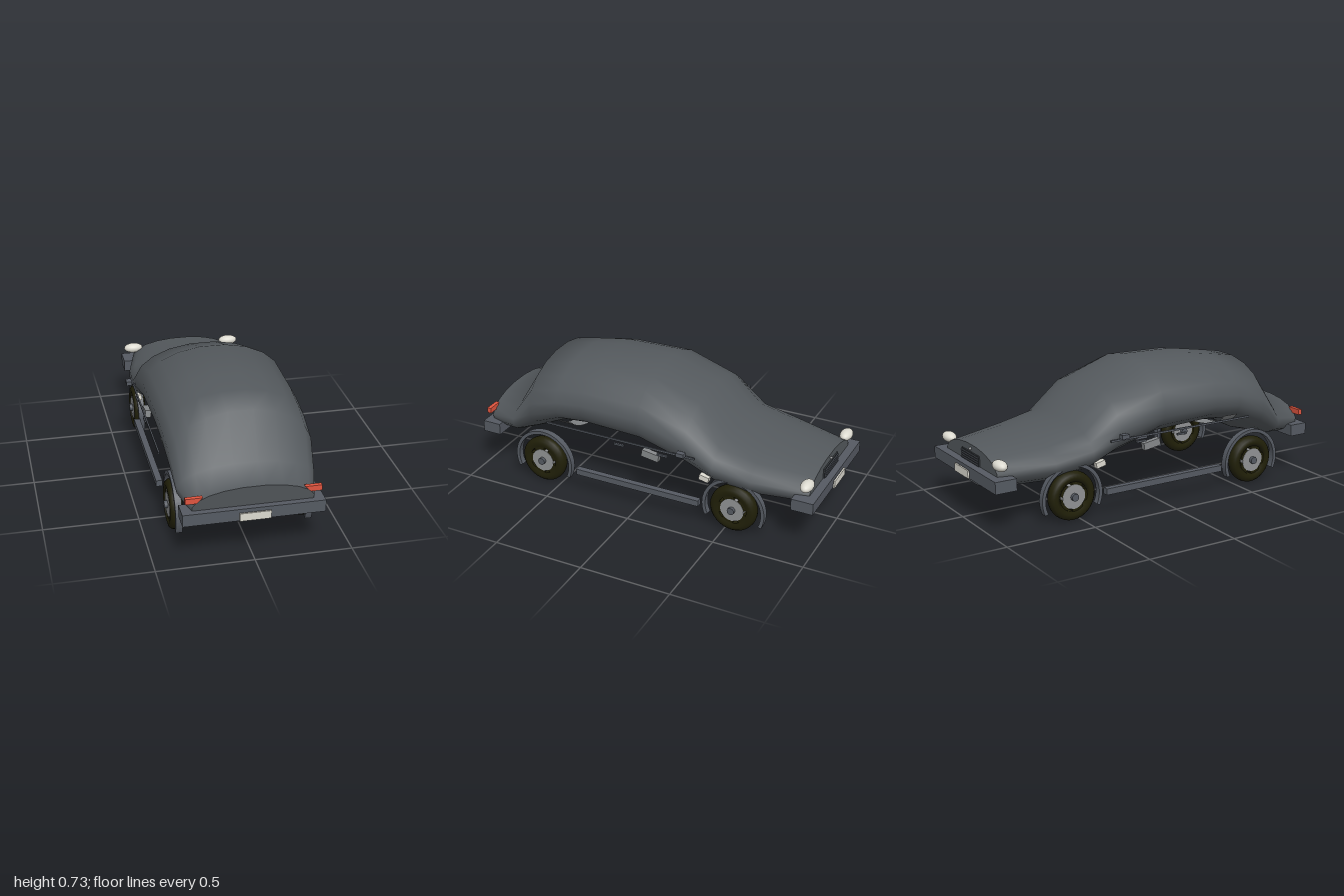
import * as THREE from 'three';

const mat = (name, color) => Object.assign(new THREE.MeshStandardMaterial({ color }), { name });

export function createModel() {
  const paint = mat('bodyPaint', 0x54595d);
  const trimGrey = mat('trimGrey', 0x555a62);
  const tyreBlack = mat('tyreBlack', 0x201f08);
  const rimGrey = mat('rimGrey', 0x909294);
  const pale = mat('paleGlass', 0xdcdad0);
  const red = mat('redLens', 0xe0553f);
  const dark = mat('grilleDark', 0x33373b);
  const glass = mat('windowGrey', 0x85888a);
  glass.side = THREE.DoubleSide;

  const model = new THREE.Group();
  const add = (name, geo, material, x = 0, y = 0, z = 0, parent = model) => {
    const m = new THREE.Mesh(geo, material);
    m.name = name;
    m.position.set(x, y, z);
    parent.add(m);
    return m;
  };
  const box = (name, w, h, d, material, x, y, z) =>
    add(name, new THREE.BoxGeometry(w, h, d), material, x, y, z);

  // Body shell: rounded sections from tail to nose
  // z, top, bottom, half width, height fraction of the widest line
  const sections = [
    [0.95, 0.4, 0.19, 0.31, 0.5], [0.79, 0.44, 0.205, 0.355, 0.5],
    [0.67, 0.668, 0.24, 0.37, 0.45], [0.5, 0.697, 0.33, 0.378, 0.43],
    [0.34, 0.723, 0.345, 0.382, 0.43], [0, 0.731, 0.33, 0.388, 0.43],
    [-0.27, 0.635, 0.255, 0.388, 0.45], [-0.43, 0.467, 0.2, 0.38, 0.52],
    [-0.64, 0.42, 0.172, 0.367, 0.55], [-0.94, 0.385, 0.18, 0.295, 0.52],
  ];
  const N = 20;
  const ring = ([z, top, bottom, half, f], i) => {
    const mid = bottom + (top - bottom) * f;
    return Array.from({ length: N }, (_, j) => {
      const a = ((j + 0.5) / N) * Math.PI * 2;
      const c = Math.cos(a), s = Math.sin(a);
      const x = half * Math.sign(c) * Math.abs(c) ** 0.93;
      const y = mid + (s > 0 ? top - mid : mid - bottom) * s;
      return [x, y, z + (i === 0 ? (y - mid) * 0.14 : 0)]; // raked tail
    });
  };
  const rings = sections.map(ring);
  const shellIndex = [];
  for (let i = 0; i < rings.length - 1; i++) {
    for (let j = 0; j < N; j++) {
      const a = i * N + j, b = i * N + ((j + 1) % N);
      shellIndex.push(a, a + N, b, b, a + N, b + N);
    }
  }
  const meshFrom = (points, index) => {
    const g = new THREE.BufferGeometry();
    g.setAttribute('position', new THREE.Float32BufferAttribute(points.flat(), 3));
    g.setIndex(index);
    g.computeVertexNormals();
    return g;
  };
  add('bodyShell', meshFrom(rings.flat(), shellIndex), paint);

  // End panels closing the shell
  const cap = (pts, flip) => {
    const index = [];
    for (let j = 1; j < N - 1; j++) index.push(0, ...(flip ? [j + 1, j] : [j, j + 1]));
    return meshFrom(pts, index);
  };
  add('tailPanel', cap(rings[0], false), paint);
  add('nosePanel', cap(rings[rings.length - 1], true), paint);

  // Bumpers and plates
  for (const s of [1, -1]) {
    box('bumper', 0.72, 0.064, s > 0 ? 0.105 : 0.12, trimGrey, 0, 0.257, s > 0 ? 0.93 : -0.925);
    box('numberPlate', 0.158, 0.042, 0.009, pale, 0, 0.253, s * 0.9955);
    box('plateBracket', 0.1, 0.025, 0.012, trimGrey, 0, 0.253, s * 0.986);
  }

  // Grille and round nose button
  box('grille', 0.2, 0.055, 0.012, dark, 0, 0.318, -0.942);
  for (let i = 0; i < 4; i++) {
    box('grilleSlat', 0.19, 0.005, 0.008, trimGrey, 0, 0.299 + i * 0.0125, -0.95);
  }
  add('noseButton', new THREE.SphereGeometry(0.008, 12, 8), rimGrey, 0, 0.362, -0.945);

  // Tyre, arch and lens outlines
  const tyreProfile = [[0.08, -0.028], [0.1, -0.034], [0.118, -0.03], [0.129, -0.018],
    [0.132, 0], [0.129, 0.018], [0.118, 0.03], [0.1, 0.034], [0.08, 0.028], [0.08, -0.028]]
    .map(([x, y]) => new THREE.Vector2(x, y));
  const tyreGeo = new THREE.LatheGeometry(tyreProfile, 32).rotateZ(Math.PI / 2);
  const disc = (r, w, n = 24) => new THREE.CylinderGeometry(r, r, w, n).rotateZ(Math.PI / 2);
  const archShape = new THREE.Shape();
  archShape.absarc(0, 0, 0.177, -0.43, Math.PI + 0.43, false);
  archShape.absarc(0, 0, 0.158, Math.PI + 0.43, -0.43, true);
  const archGeo = new THREE.ExtrudeGeometry(archShape, { depth: 0.035, bevelEnabled: false, curveSegments: 20 })
    .rotateY(Math.PI / 2).translate(-0.0175, 0, 0);

  for (const s of [1, -1]) {
    // Wheels with arches above them
    for (const z of [0.6, -0.545]) {
      const wheel = new THREE.Group();
      wheel.name = 'wheel';
      wheel.position.set(s * 0.336, 0.134, z);
      model.add(wheel);
      add('tyre', tyreGeo, tyreBlack, 0, 0, 0, wheel);
      add('rim', disc(0.066, 0.06), rimGrey, 0, 0, 0, wheel);
      add('hub', disc(0.02, 0.096, 12), trimGrey, 0, 0, 0, wheel);
      for (let k = 0; k < 5; k++) {
        const a = (k / 5) * Math.PI * 2 + 0.3;
        const spoke = add('spoke', new THREE.BoxGeometry(0.056, 0.04, 0.062), tyreBlack,
          0, 0.073 * Math.cos(a), 0.073 * Math.sin(a), wheel);
        spoke.rotation.x = a;
      }
      add('wheelArch', archGeo, trimGrey, s * 0.337, 0.13, z);
    }

    // Sill, waist trim and door handles
    box('sill', 0.034, 0.034, 0.735, trimGrey, s * 0.368, 0.13, 0.008);
    box('waistTrim', 0.008, 0.01, 0.885, trimGrey, s * 0.394, 0.402, 0.102);
    for (const z of [0.1, -0.155]) box('doorHandle', 0.012, 0.01, 0.06, trimGrey, s * 0.393, 0.375, z);

    // Wing mirror
    box('mirror', 0.03, 0.022, 0.045, trimGrey, s * 0.421, 0.426, -0.275);
    const arm = box('mirrorArm', 0.04, 0.007, 0.01, trimGrey, s * 0.393, 0.415, -0.272);
    arm.rotation.z = s * 0.4;

    // Lower glass corners
    const corner = box('pillarCorner', 0.03, 0.04, 0.1, glass, s * 0.355, 0.337, -0.07);
    corner.rotation.x = -0.15;
    const quarter = box('quarterGlass', 0.03, 0.03, 0.055, pale, s * 0.352, 0.28, -0.382);
    quarter.rotation.x = -0.2;

    // Head lamps
    const lamp = add('headLamp', new THREE.SphereGeometry(1, 20, 12), pale, s * 0.295, 0.348, -0.925);
    lamp.scale.set(0.056, 0.028, 0.034);

    // Tail lamps
    const lens = new THREE.Shape([[0.342, 0.336], [0.342, 0.366], [0.255, 0.366], [0.285, 0.336]]
      .map(([x, y]) => new THREE.Vector2(s * x, y)));
    add('tailLamp', new THREE.ExtrudeGeometry(lens, { depth: 0.022, bevelEnabled: false }), red, 0, 0, 0.942);
  }

  // Pale band wrapped under the rear cabin
  const band = add('rearBand', new THREE.CylinderGeometry(1, 1, 0.09, 24, 1, true, -1.3, 2.6)
    .rotateX(Math.PI / 2), glass, 0, 0.455, 0.445);
  band.scale.set(0.377, 0.14, 1);

  return model;
}
